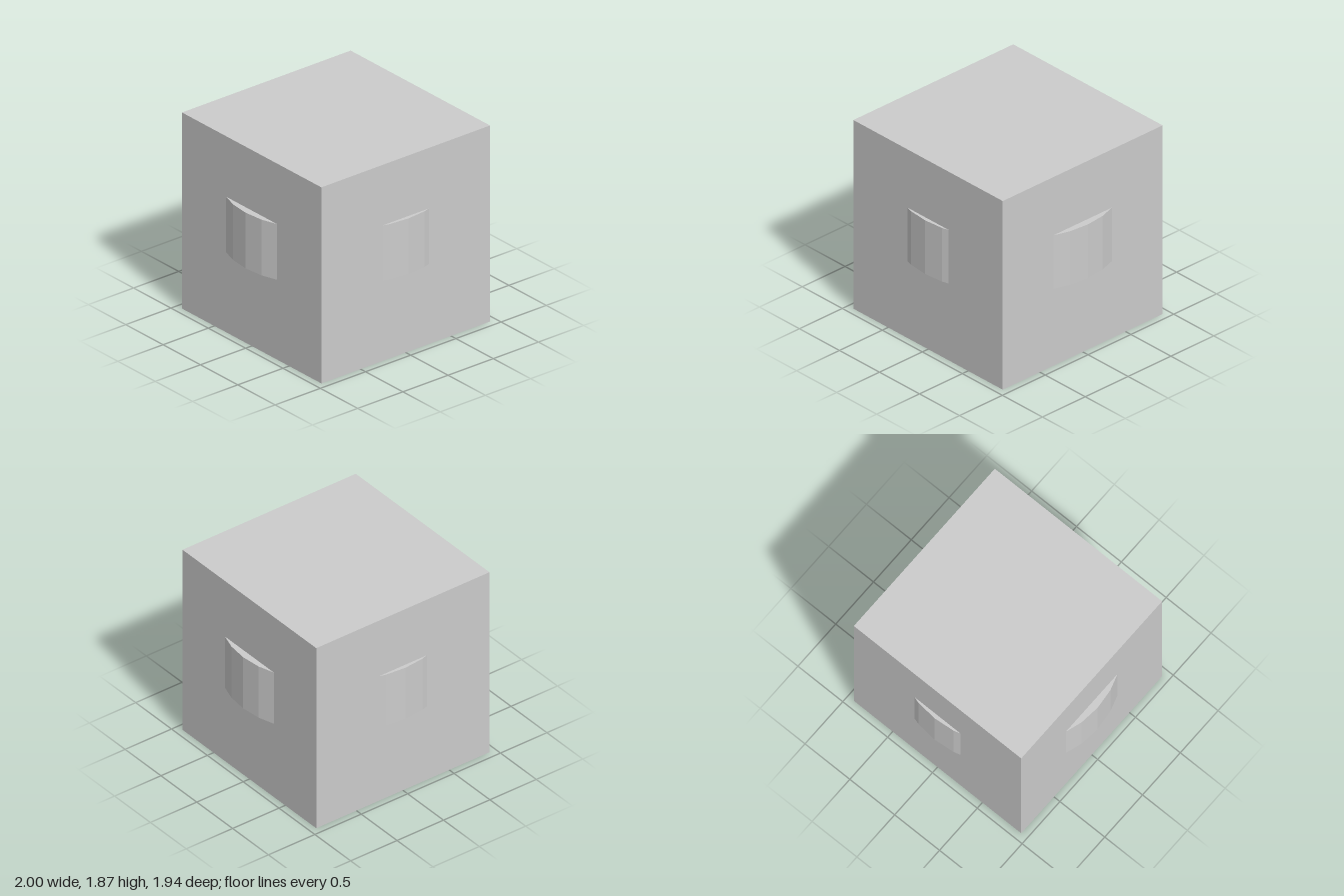
import * as THREE from 'three';

export function createModel() {
  const group = new THREE.Group();
  const material = new THREE.MeshStandardMaterial({ color: 0xcccccc, flatShading: true });

  // Solid cube body
  const size = 1.866;
  const body = new THREE.Mesh(new THREE.BoxGeometry(size, size, size), material);
  body.name = 'body';
  body.position.y = size / 2;
  group.add(body);

  // Slightly oval faceted disc whose rim bulges through all four walls
  const bottom = 0.76, top = 1.29;
  const disc = new THREE.Mesh(new THREE.CylinderGeometry(1, 1, top - bottom, 32), material);
  disc.name = 'disc';
  disc.scale.z = 0.97;
  disc.position.y = (bottom + top) / 2;
  group.add(disc);

  return group;
}
